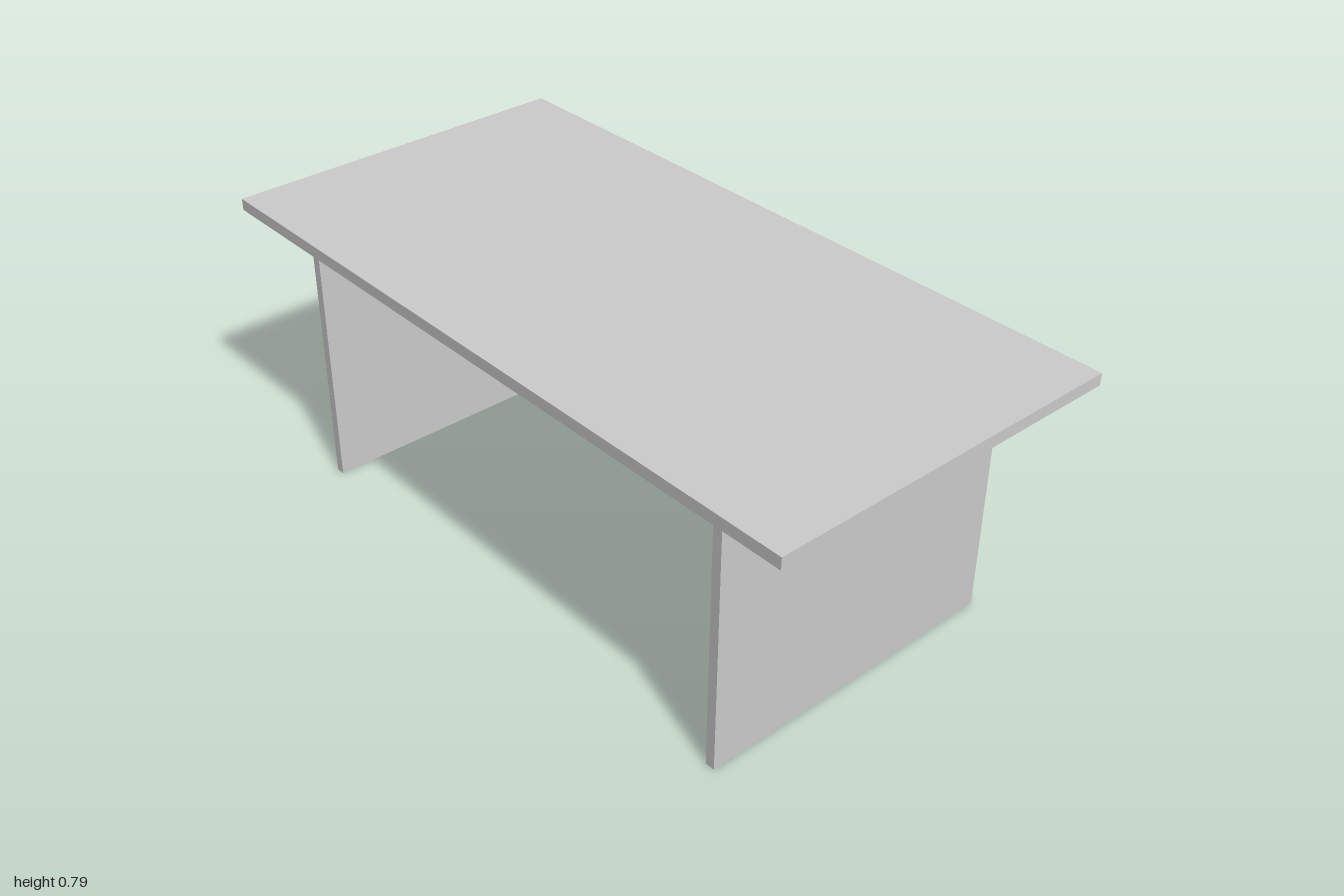
import * as THREE from 'three';

const material = new THREE.MeshStandardMaterial({ color: 0xcccccc });

// Box given by its [min, max] extent along each axis
function board(name, [x0, x1], [y0, y1], [z0, z1]) {
  const mesh = new THREE.Mesh(new THREE.BoxGeometry(x1 - x0, y1 - y0, z1 - z0), material);
  mesh.position.set((x0 + x1) / 2, (y0 + y1) / 2, (z0 + z1) / 2);
  mesh.name = name;
  return mesh;
}

export function createModel() {
  const group = new THREE.Group();
  group.name = 'desk';

  const topY = 0.785;
  const underY = 0.753;
  const legDepth = [-0.462, 0.431];
  const rightLegX = [-0.782, -0.756];
  const leftLegX = [0.739, 0.766];

  group.add(
    // Overhanging work surface
    board('tabletop', [-1, 1], [underY, topY], [-0.5, 0.5]),
    // Full-depth slab legs
    board('rightLeg', rightLegX, [0, underY], legDepth),
    board('leftLeg', leftLegX, [0, underY], legDepth),
    // Panel between the legs, towards the back
    board('modestyPanel', [rightLegX[1], leftLegX[0]], [0.272, underY], [-0.296, -0.256]),
  );
  return group;
}
